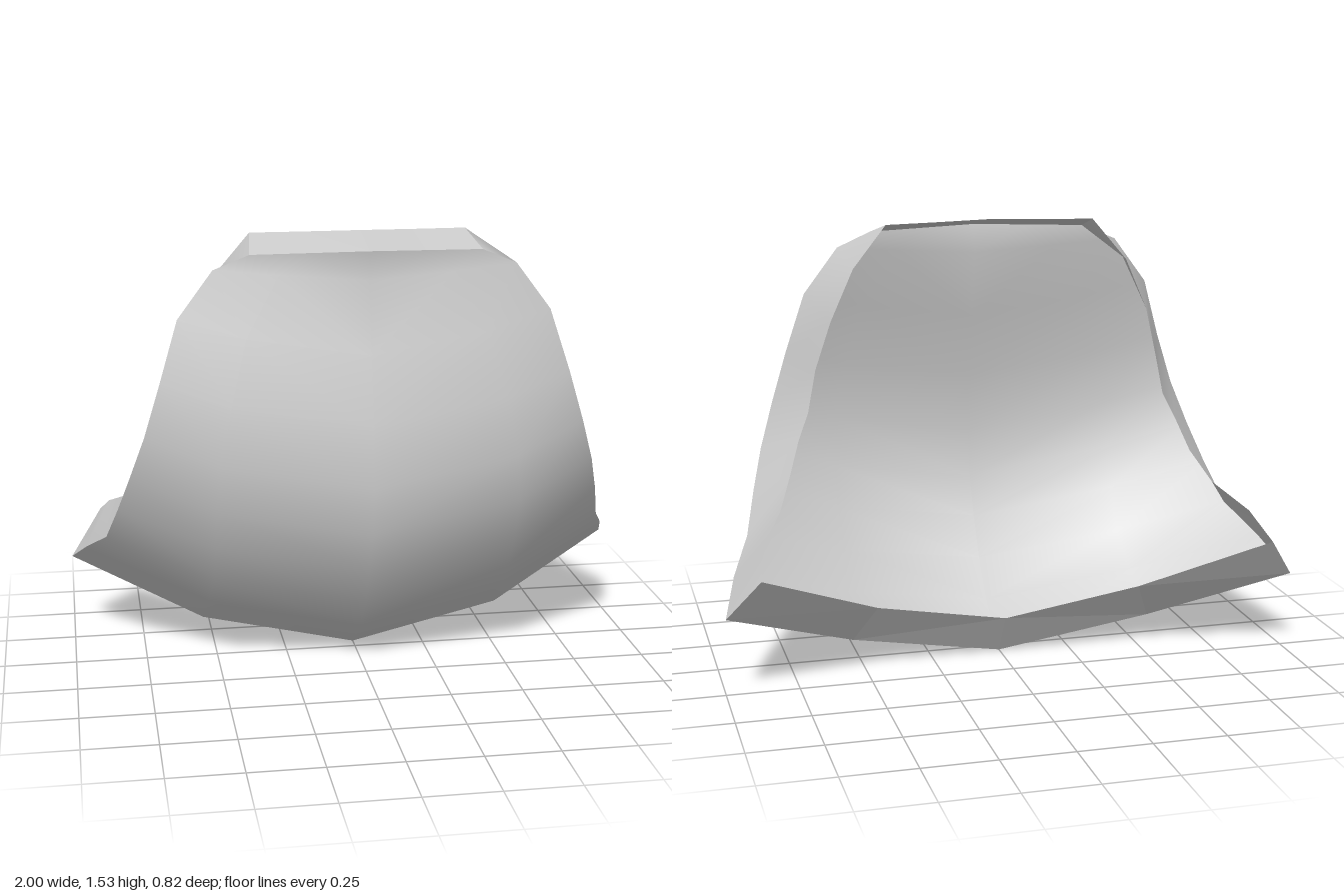
import * as THREE from 'three';

// Skin a grid of points: rows run upward, columns run to the right as seen from outside.
function skin(name, rows, flat = false) {
  const cols = rows[0].length, index = [];
  for (let r = 0; r < rows.length - 1; r++) {
    for (let c = 0; c < cols - 1; c++) {
      const a = r * cols + c, b = a + 1, d = a + cols, e = d + 1;
      // Mirror the diagonals about the centre line
      if (c < cols / 2 - 1) index.push(a, b, d, b, e, d);
      else index.push(a, b, e, a, e, d);
    }
  }
  const geometry = new THREE.BufferGeometry();
  geometry.setAttribute('position', new THREE.Float32BufferAttribute(rows.flat(2), 3));
  geometry.setIndex(index);
  geometry.computeVertexNormals();
  const mesh = new THREE.Mesh(geometry, new THREE.MeshStandardMaterial({
    color: 0xcccccc, side: THREE.DoubleSide, flatShading: flat,
  }));
  mesh.name = name;
  return mesh;
}

const mirror = ([x, y, z]) => [-x, y, z];
// Complete a row given from the centre outward to the left edge
const fullRow = (half) => [...half.slice(1).reverse().map(mirror), ...half];

// Centre line of the plate, bottom to top: [y, z]
const centre = [
  [0, -0.05], [0.13, 0.13], [0.26, 0.24], [0.40, 0.32], [0.54, 0.38],
  [0.71, 0.41], [0.92, 0.40], [1.15, 0.35], [1.39, 0.29], [1.49, 0.305],
];
// Side edge of the plate, bottom to top: [x, y, z]
const edge = [
  [1, 0.29, -0.32], [0.95, 0.38, -0.145], [0.88, 0.47, 0.03], [0.84, 0.60, 0.14],
  [0.80, 0.73, 0.22], [0.75, 0.88, 0.27], [0.695, 1.06, 0.275], [0.63, 1.27, 0.245],
  [0.51, 1.43, 0.24], [0.39, 1.48, 0.255],
];
// Free rear edge of the side flange
const sideRear = [
  [0.89, 0.44, -0.41], [0.86, 0.515, -0.26], [0.78, 0.585, -0.10], [0.73, 0.68, 0],
  [0.69, 0.79, 0.05], [0.65, 0.88, 0.08], [0.62, 1.03, 0.085], [0.57, 1.20, 0.05],
  [0.49, 1.38, 0.045], [0.37, 1.525, 0.065],
];
// How far the middle column lies from centre to edge in x, y and z
const midX = [0.54, 0.56, 0.59, 0.62, 0.65, 0.67, 0.67, 0.65, 0.58, 0.5];
const midY = [0.36, 0.38, 0.4, 0.42, 0.45, 0.48, 0.5, 0.5, 0.5, 0.5];
const midZ = [0.2, 0.23, 0.26, 0.29, 0.32, 0.35, 0.38, 0.42, 0.46, 0.5];

export function createModel() {
  const group = new THREE.Group();
  group.name = 'curvedPlate';
  const { lerp } = THREE.MathUtils;

  // Domed front shell
  const shell = centre.map(([y, z], i) => {
    const [ex, ey, ez] = edge[i];
    const mid = [ex * midX[i], lerp(y, ey, midY[i]), lerp(z, ez, midZ[i])];
    return fullRow([[0, y, z], mid, edge[i]]);
  });
  group.add(skin('frontShell', shell));

  // Flanges folded back along the bottom and top
  const bottomRear = fullRow([[0, 0.15, -0.145], [0.47, 0.25, -0.21], sideRear[0]]);
  const topRear = fullRow([[0, 1.53, 0.10], [0.185, 1.527, 0.082], sideRear[9]]);
  group.add(skin('bottomFlange', [bottomRear, shell[0]], true));
  group.add(skin('topFlange', [shell[9], topRear], true));

  // Flanges folded back along both sides
  group.add(skin('leftFlange', edge.map((p, i) => [p, sideRear[i]])));
  group.add(skin('rightFlange', edge.map((p, i) => [mirror(sideRear[i]), mirror(p)])));

  return group;
}
